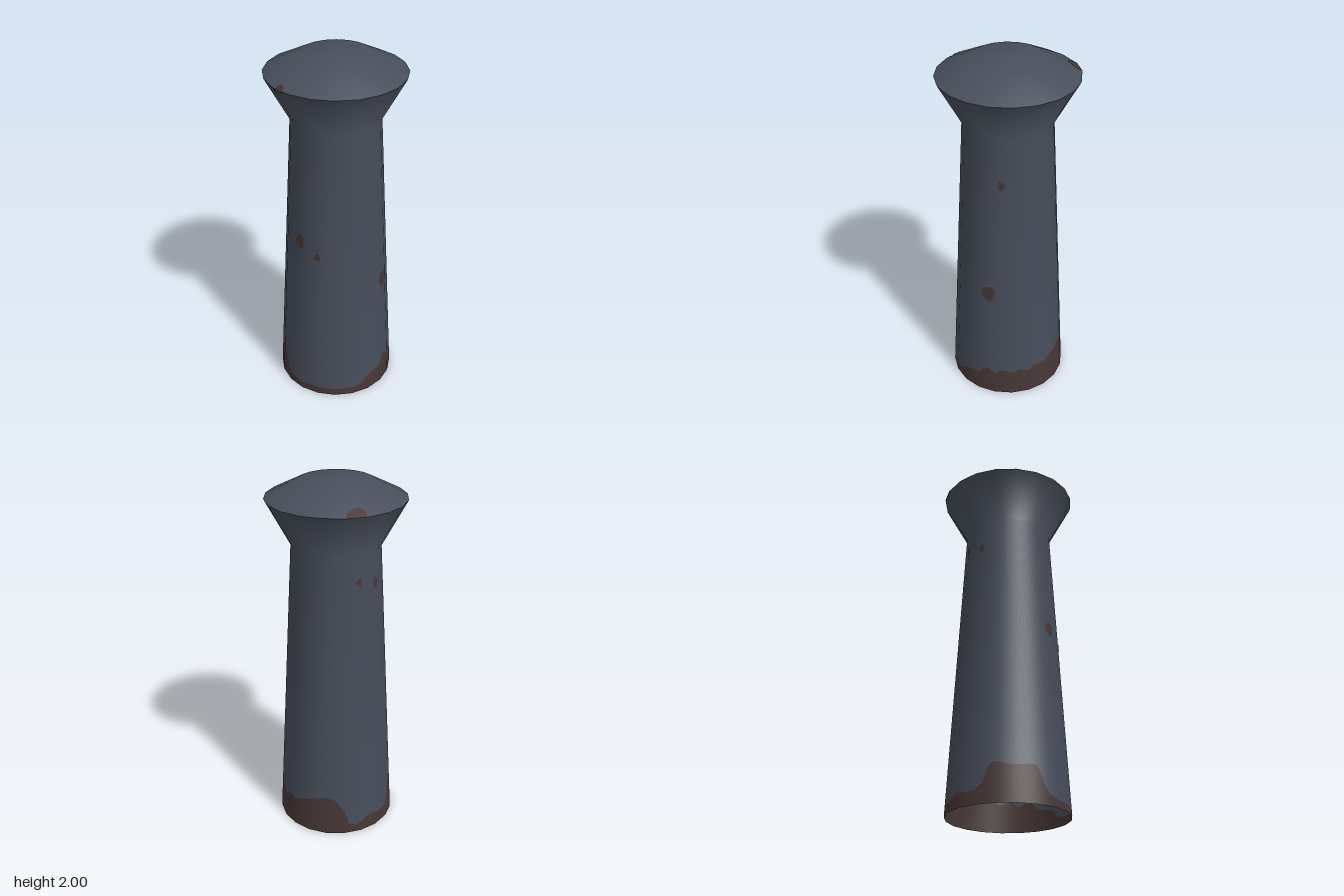
import * as THREE from 'three';

const SIDES = 20, STEP = (Math.PI * 2) / SIDES, SEGMENTS = 180;
const BASE_R = 0.327, NECK_R = 0.24, NECK_Y = 1.64, RIM_R = 0.373, RIM_Y = 1.887;

// Upper edge of the rust band: [angle in degrees from the front, height]
const RUST_EDGE = [
  [0, 0.04], [12, 0.045], [38, 0.04], [64, 0.05], [72, 0.1], [84, 0.11], [90, 0.12], [95, 0.155],
  [99, 0.165], [108, 0.14], [116, 0.165], [128, 0.15], [135, 0.17], [143, 0.15], [150, 0.17],
  [163, 0.17], [177, 0.2], [189, 0.22], [201, 0.235], [209, 0.21], [218, 0.14], [222, 0.06],
  [229, 0.045], [239, 0.07], [251, 0.09], [257, 0.07], [269, 0.075], [276, 0.11], [282, 0.2],
  [290, 0.21], [302, 0.19], [318, 0.2], [327, 0.195], [331, 0.13], [338, 0.06], [348, 0.045], [360, 0.04],
];

function rustHeight(angle) {
  const deg = (THREE.MathUtils.radToDeg(angle) + 360) % 360;
  const i = Math.max(1, RUST_EDGE.findIndex((p) => p[0] >= deg));
  const [a0, h0] = RUST_EDGE[i - 1], [a1, h1] = RUST_EDGE[i];
  return h0 + ((h1 - h0) * (deg - a0)) / (a1 - a0);
}

// Ratio that turns a circle into the twenty-sided outline
function sideScale(angle) {
  const a = ((angle % STEP) + STEP) % STEP;
  return Math.cos(STEP / 2) / Math.cos(a - STEP / 2);
}

function radiusAt(y) {
  if (y < NECK_Y) return BASE_R + ((NECK_R - BASE_R) * y) / NECK_Y;
  if (y < RIM_Y) return NECK_R + ((RIM_R - NECK_R) * (y - NECK_Y)) / (RIM_Y - NECK_Y);
  return RIM_R - (y - RIM_Y) * 1.98;
}

// Lathe with flat sides; one profile row may follow the rust edge
function turned(profile, rustRow = -1) {
  const geo = new THREE.LatheGeometry(profile.map(([r, y]) => new THREE.Vector2(r, y)), SEGMENTS);
  const pos = geo.attributes.position;
  for (let i = 0; i < pos.count; i++) {
    const row = i % profile.length;
    const angle = (Math.floor(i / profile.length) / SEGMENTS) * Math.PI * 2;
    const y = row === rustRow ? rustHeight(angle) : profile[row][1];
    const r = (row === rustRow ? radiusAt(y) : profile[row][0]) * sideScale(angle);
    pos.setXYZ(i, r * Math.sin(angle), y, r * Math.cos(angle));
  }
  return geo;
}

// Thin uneven patch wrapped on the surface
function patch(deg, y, width, height, minY = 0) {
  const geo = new THREE.CircleGeometry(1, 16);
  const pos = geo.attributes.position;
  const centre = THREE.MathUtils.degToRad(deg);
  for (let i = 0; i < pos.count; i++) {
    const u = pos.getX(i), v = pos.getY(i);
    const wobble = 1 + 0.1 * Math.sin(3 * Math.atan2(v, u) + deg);
    const py = Math.max(minY, y + (v * wobble * height) / 2);
    const angle = centre + (u * wobble * width) / 2 / radiusAt(py);
    const r = radiusAt(py) * sideScale(angle) + 0.003;
    pos.setXYZ(i, r * Math.sin(angle), py + (py >= RIM_Y ? 0.003 : 0), r * Math.cos(angle));
  }
  geo.computeVertexNormals();
  return geo;
}

export function createModel() {
  const group = new THREE.Group();
  const iron = new THREE.MeshStandardMaterial({ color: 0x474e5b, side: THREE.DoubleSide });
  iron.name = 'dark iron';
  const rust = new THREE.MeshStandardMaterial({ color: 0x463735, side: THREE.DoubleSide });
  rust.name = 'rust';
  const add = (name, geo, mat) => {
    const mesh = new THREE.Mesh(geo, mat);
    mesh.name = name;
    group.add(mesh);
  };

  // Hollow tapered post with flared head, open at the bottom
  add('post', turned([[BASE_R, 0], [NECK_R, NECK_Y], [RIM_R, RIM_Y]], 0), iron);
  add('rustBand', turned([[BASE_R, 0], [radiusAt(0.1), 0.1]], 1), rust);

  // Shallow domed cap
  add('cap', turned([[RIM_R, RIM_Y], [0.195, 1.977], [0, 2]]), iron);

  // Rust spots: angle, height, width, height of spot
  const spots = [
    [-8, 0.99, 0.062, 0.08], [16, 0.925, 0.032, 0.045], [100, 0.7, 0.08, 0.095],
    [114, 1.385, 0.04, 0.055], [237, 1.5, 0.038, 0.05], [263, 1.47, 0.038, 0.055],
    [-11, 1.885, 0.05, 0.03],
  ];
  spots.forEach((s) => add('rustSpot', patch(...s), rust));
  add('capRustSpot', patch(225, RIM_Y, 0.105, 0.06, RIM_Y), rust);

  return group;
}
